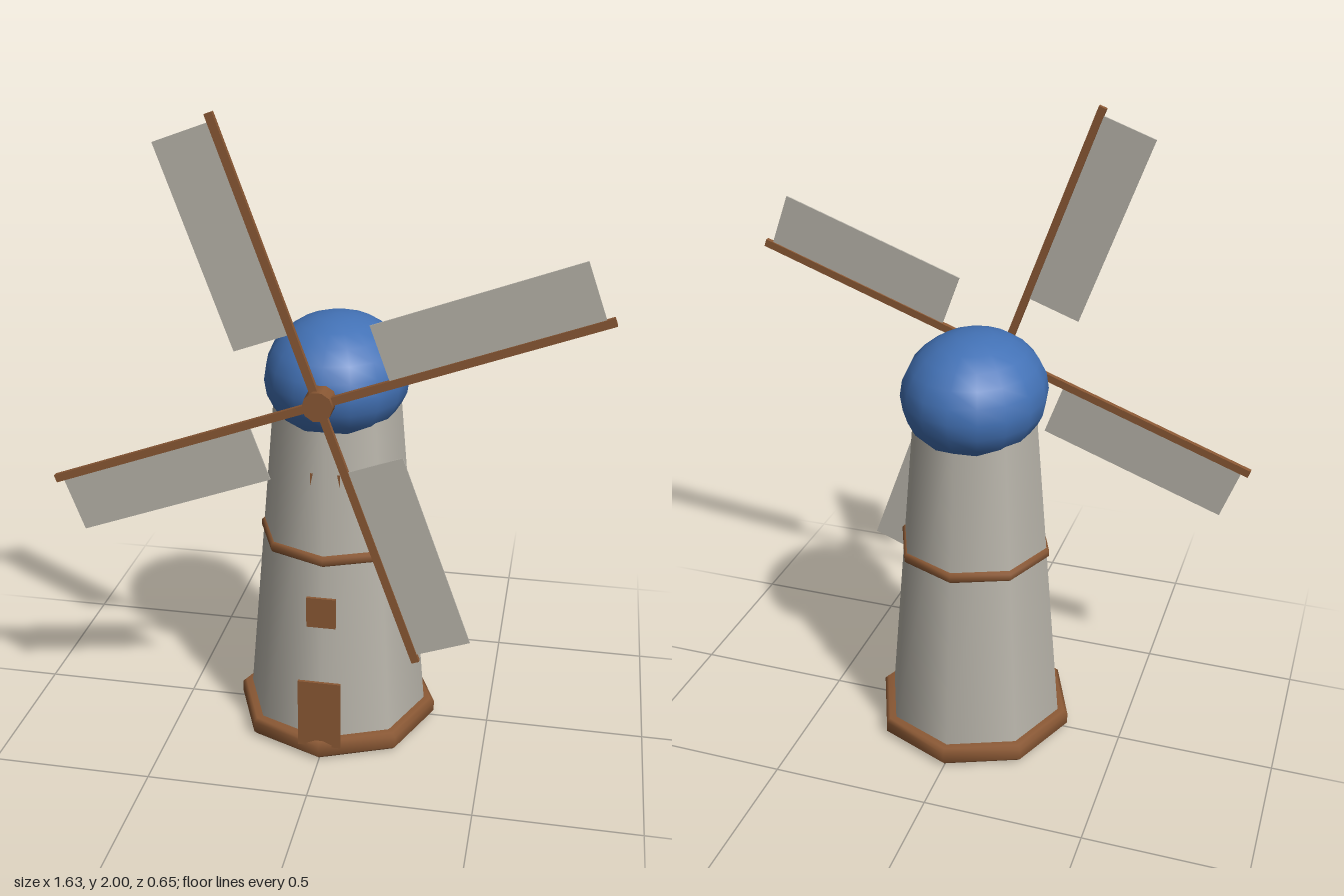
import * as THREE from 'three';

export function createModel() {
  const model = new THREE.Group();
  model.name = 'windmill';

  const stone = new THREE.MeshStandardMaterial({ color: 0xb8b4aa });
  const wood = new THREE.MeshStandardMaterial({ color: 0x8a5834 });
  const roof = new THREE.MeshStandardMaterial({ color: 0x4372b6 });
  stone.name = 'stoneAndCanvas';
  wood.name = 'wood';
  roof.name = 'roofBlue';

  const add = (name, geometry, material, x = 0, y = 0, z = 0, parent = model) => {
    const mesh = new THREE.Mesh(geometry, material);
    mesh.name = name;
    mesh.position.set(x, y, z);
    parent.add(mesh);
    return mesh;
  };

  // Eight-sided ring with chamfered outer edges
  const ring = (inner, outer, bottom, top, c) => new THREE.LatheGeometry([
    [inner, bottom], [outer - c, bottom], [outer, bottom + c],
    [outer, top - c], [outer - c, top], [inner, top],
  ].map(([r, y]) => new THREE.Vector2(r, y)), 8);

  // Tapered octagonal tower with its wooden floor and hoops
  add('tower', new THREE.CylinderGeometry(0.195, 0.295, 1.146, 8), stone, 0, 0.577, 0);
  add('floor', new THREE.CylinderGeometry(0.29, 0.29, 0.01, 4), wood, 0, 0.005, 0);
  add('baseRing', ring(0.275, 0.324, 0.006, 0.065, 0.012), wood);
  add('middleBand', ring(0.22, 0.246, 0.64, 0.676, 0.009), wood);

  // Domed cap, longer from front to back
  const dome = new THREE.SphereGeometry(1, 16, 12);
  add('cap', dome, roof, 0, 1.18, 0).scale.set(0.222, 0.19, 0.256);

  // Door and windows
  add('door', new THREE.BoxGeometry(0.134, 0.23, 0.009), wood, 0, 0.16, 0.303);
  add('lowerWindow', new THREE.BoxGeometry(0.09, 0.1, 0.009), wood, 0, 0.5, 0.268);
  add('upperWindow', new THREE.BoxGeometry(0.09, 0.1, 0.009), wood, 0, 0.88, 0.1945);

  // Hub and four sails, turned together
  const rotor = new THREE.Group();
  rotor.name = 'rotor';
  rotor.position.set(0, 1.185, 0.286);
  rotor.rotation.z = THREE.MathUtils.degToRad(20);
  model.add(rotor);
  add('hub', new THREE.CylinderGeometry(0.045, 0.045, 0.09, 10), wood, 0, 0, -0.021, rotor)
    .rotation.x = Math.PI / 2;

  for (let i = 0; i < 4; i++) {
    const blade = new THREE.Group();
    blade.name = 'blade';
    blade.rotation.z = i * Math.PI / 2;
    rotor.add(blade);
    add('arm', new THREE.BoxGeometry(0.863, 0.024, 0.016), wood, 0.4315, 0, 0, blade);
    add('sail', new THREE.BoxGeometry(0.62, 0.175, 0.005), stone, 0.53, 0.0925, 0, blade);
  }
  return model;
}
